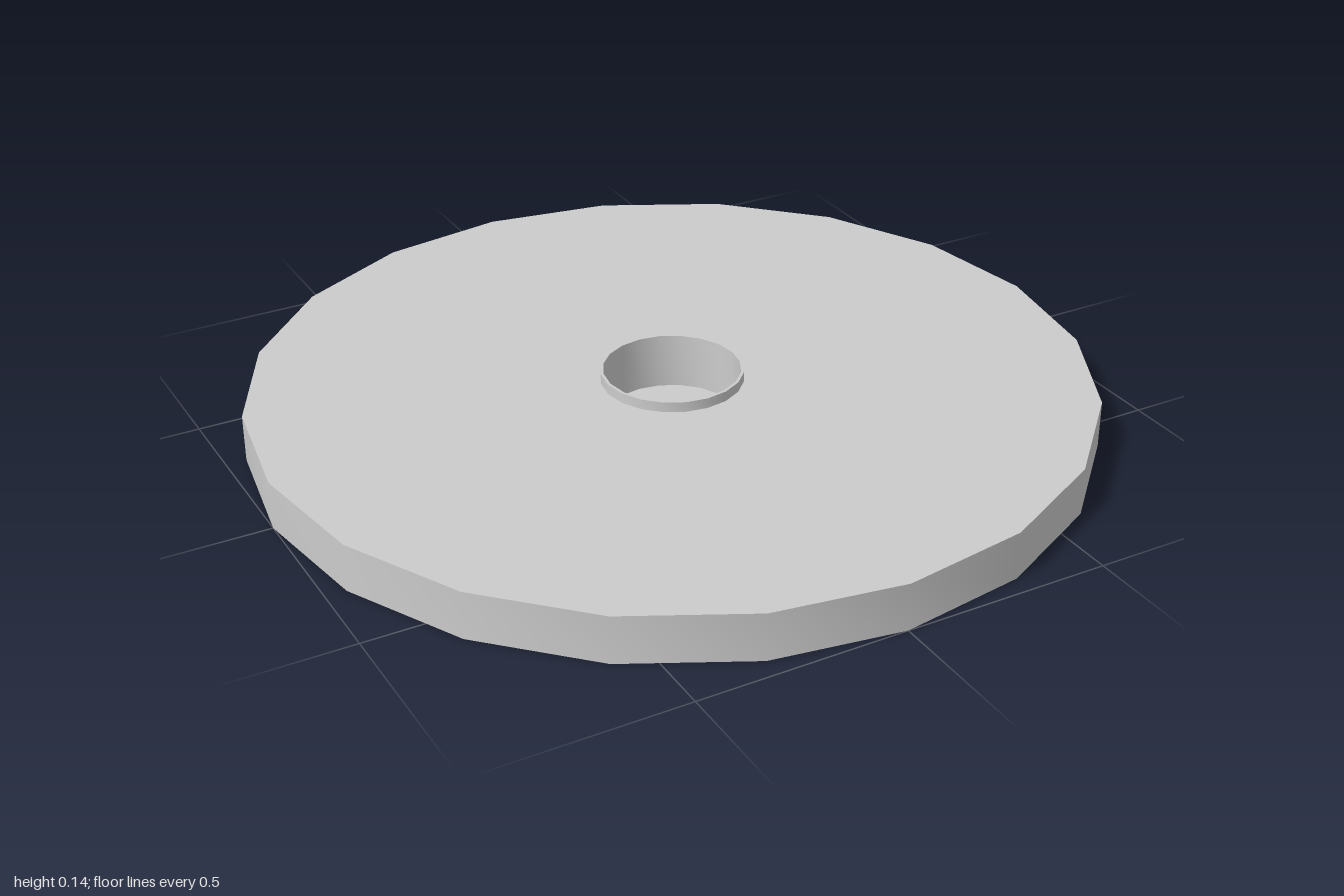
import * as THREE from 'three';
import { toCreasedNormals } from 'three/addons/utils/BufferGeometryUtils.js';

const RADIUS = 1, HEIGHT = 0.115;
const RIM_OUTER = 0.17, RIM_INNER = 0.163, RIM_TOP = 0.14, FLOOR = 0.005;

const material = new THREE.MeshStandardMaterial({ color: 0xcccccc });

// Revolve an [r, y] profile; hard edges stay sharp, the round walls stay smooth
function turned(name, profile, sides) {
  const points = profile.map(([r, y]) => new THREE.Vector2(r, y));
  const geometry = toCreasedNormals(new THREE.LatheGeometry(points, sides), Math.PI / 6);
  const mesh = new THREE.Mesh(geometry, material);
  mesh.name = name;
  return mesh;
}

export function createModel() {
  const group = new THREE.Group();
  group.name = 'discWithSocket';

  // Twenty-sided disc: underside, outer wall and top, open in the middle
  group.add(turned('disc', [[0, 0], [RADIUS, 0], [RADIUS, HEIGHT], [RIM_OUTER - 0.003, HEIGHT]], 20));

  // Thin raised rim whose inner wall runs down to the socket floor
  group.add(turned('socket', [
    [RIM_OUTER, HEIGHT - 0.01], [RIM_OUTER, RIM_TOP],
    [RIM_INNER, RIM_TOP], [RIM_INNER, FLOOR], [0, FLOOR],
  ], 20));

  return group;
}
